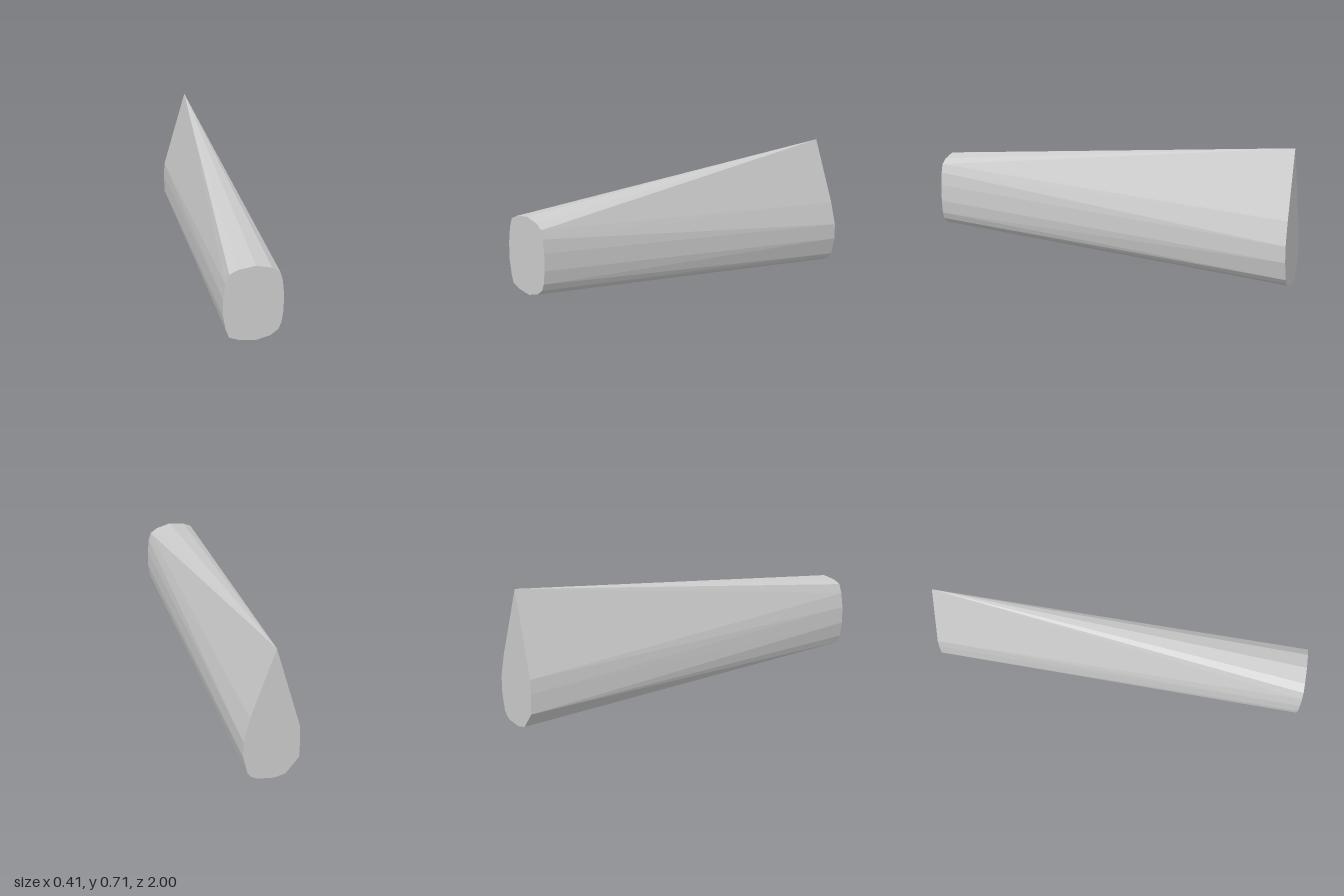
import * as THREE from 'three';
import { ConvexGeometry } from 'three/addons/geometries/ConvexGeometry.js';

// Rounded front end section, counter-clockwise from the lower left
const frontSection = [
  [-0.175, 0.19], [-0.13, 0.172], [-0.045, 0.158], [0.03, 0.176], [0.07, 0.205], [0.085, 0.24],
  [0.095, 0.31], [0.095, 0.4], [0.088, 0.47], [0.075, 0.515], [0.035, 0.542], [-0.045, 0.562],
  [-0.13, 0.55], [-0.175, 0.53], [-0.193, 0.48], [-0.205, 0.4], [-0.205, 0.31], [-0.19, 0.23],
];

// Teardrop back end section, counter-clockwise from the bottom
const backSection = [
  [0.04, 0], [0.13, 0.013], [0.16, 0.03], [0.18, 0.055], [0.203, 0.15], [0.203, 0.235],
  [0.17, 0.36], [0.04, 0.715], [-0.088, 0.275], [-0.092, 0.2], [-0.09, 0.095], [-0.02, 0.013],
];

const sectionAt = (section, z) => section.map(([x, y]) => new THREE.Vector3(x, y, z));

export function createModel() {
  const group = new THREE.Group();
  group.name = 'taperedBar';

  const grey = new THREE.MeshStandardMaterial({ color: 0xcccccc });
  grey.name = 'light grey';

  // Faceted body stretched between the two end sections
  const geometry = new ConvexGeometry([...sectionAt(frontSection, 1), ...sectionAt(backSection, -1)]);
  const body = new THREE.Mesh(geometry, grey);
  body.name = 'body';
  group.add(body);

  return group;
}
